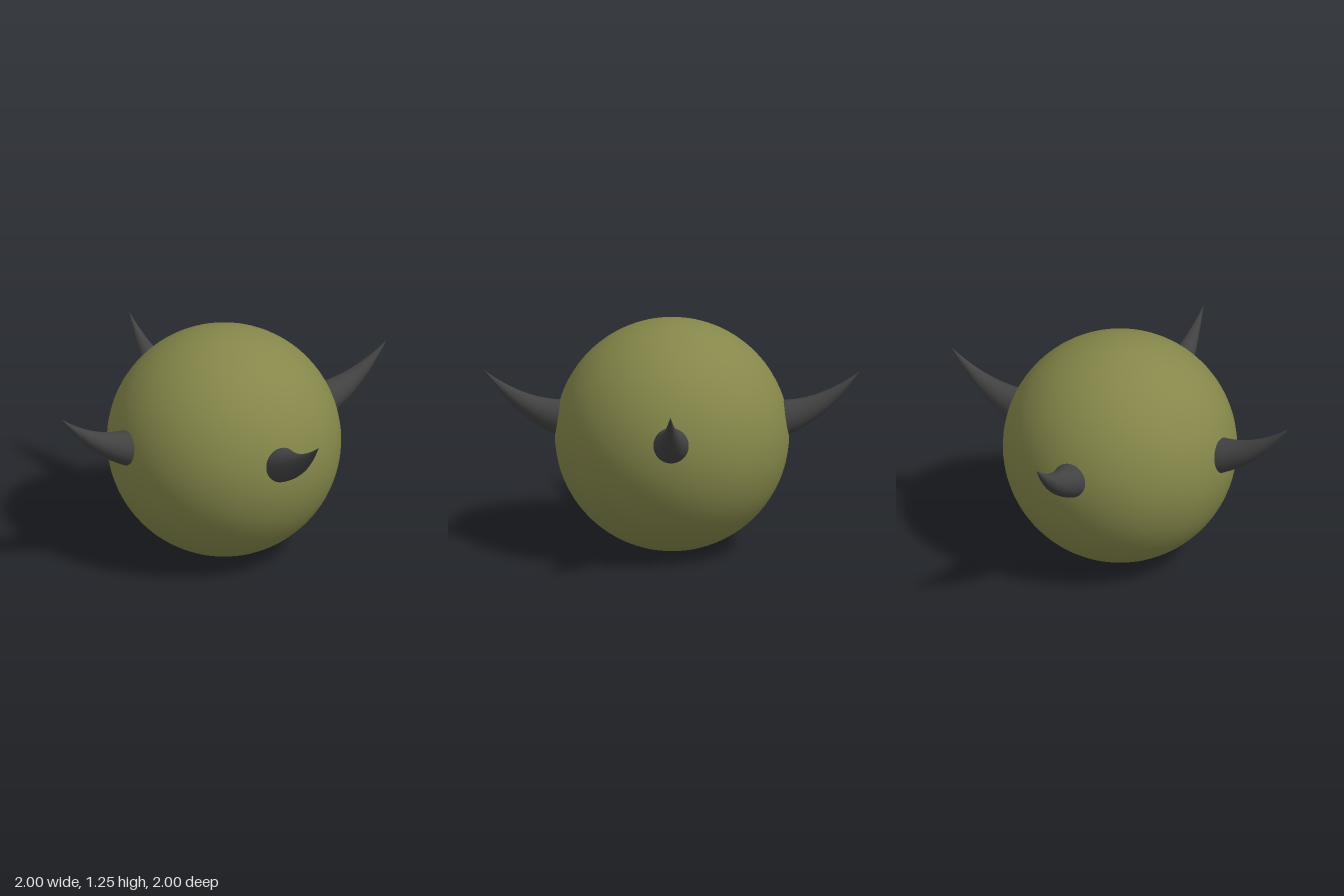
import * as THREE from 'three';
import { toCreasedNormals } from 'three/addons/utils/BufferGeometryUtils.js';

// Cone bent along a curve that rises outwards in the xy plane
function hornGeometry() {
  const path = new THREE.QuadraticBezierCurve(
    new THREE.Vector2(0.53, 0.703),
    new THREE.Vector2(0.79, 0.745),
    new THREE.Vector2(1.0, 0.975)
  );
  const geometry = new THREE.ConeGeometry(0.111, 1, 32, 14);
  const pos = geometry.attributes.position;
  for (let i = 0; i < pos.count; i++) {
    const t = THREE.MathUtils.clamp(pos.getY(i) + 0.5, 0, 1);
    const centre = path.getPoint(t);
    const dir = path.getTangent(t);
    const across = pos.getX(i);
    pos.setXYZ(i, centre.x + dir.y * across, centre.y - dir.x * across, pos.getZ(i));
  }
  return toCreasedNormals(geometry, 0.7);
}

export function createModel() {
  const model = new THREE.Group();
  model.name = 'hornedBall';

  const olive = new THREE.MeshStandardMaterial({ color: 0x85874a });
  olive.name = 'olive';
  const charcoal = new THREE.MeshStandardMaterial({ color: 0x424242 });
  charcoal.name = 'charcoal';

  // Round body
  const body = new THREE.Mesh(new THREE.SphereGeometry(0.623, 64, 40), olive);
  body.name = 'body';
  body.position.y = 0.625;
  model.add(body);

  // Four horns, a quarter turn apart
  const geometry = hornGeometry();
  ['leftHorn', 'backHorn', 'rightHorn', 'frontHorn'].forEach((name, i) => {
    const horn = new THREE.Mesh(geometry, charcoal);
    horn.name = name;
    horn.rotation.y = i * Math.PI / 2;
    model.add(horn);
  });

  return model;
}
